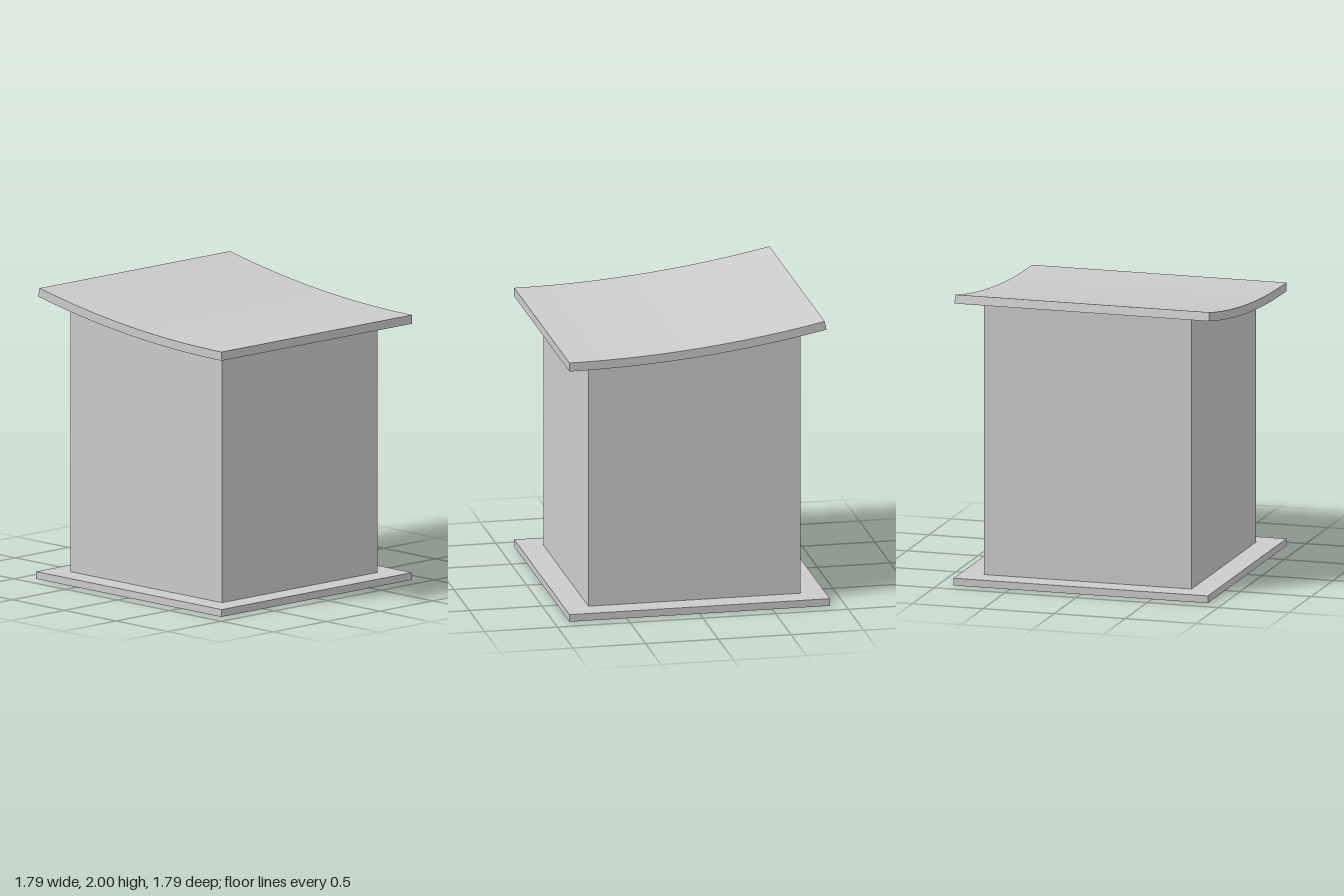
import * as THREE from 'three';
import { toCreasedNormals } from 'three/addons/utils/BufferGeometryUtils.js';

const HALF = 0.895;        // half width of base and roof
const BODY = 0.73;         // half width of the body
const BASE_H = 0.05;
const ROOF_T = 0.06;       // roof thickness
const R = 8.55;            // radius of the roof's upper surface
const CENTRE_Y = 1.818 + R; // the arc is level at the front edge

// Angle on a roof arc at a distance u from the centre towards the back
const angleAt = (u, r) => -Math.PI / 2 + Math.asin((u + HALF) / r);

// Extrudes a side profile (x = towards the back, y = up) across the width
function extrudeAcross(shape, width) {
  const geo = new THREE.ExtrudeGeometry(shape, { depth: width, bevelEnabled: false, curveSegments: 32 });
  geo.translate(0, 0, -width / 2);
  geo.rotateY(Math.PI / 2);
  return toCreasedNormals(geo, Math.PI / 6);
}

export function createModel() {
  const group = new THREE.Group();
  const material = new THREE.MeshStandardMaterial({ color: 0xcccccc });
  const add = (name, geometry) => {
    const mesh = new THREE.Mesh(geometry, material);
    mesh.name = name;
    group.add(mesh);
    return mesh;
  };

  // Flat base plate
  add('base', new THREE.BoxGeometry(HALF * 2, BASE_H, HALF * 2)).position.y = BASE_H / 2;

  // Square body, its top cut to the underside of the roof
  const under = R + ROOF_T;
  const bodyShape = new THREE.Shape();
  bodyShape.moveTo(-BODY, BASE_H);
  bodyShape.lineTo(BODY, BASE_H);
  bodyShape.absarc(-HALF, CENTRE_Y, under, angleAt(BODY, under), angleAt(-BODY, under), true);
  bodyShape.closePath();
  add('body', extrudeAcross(bodyShape, BODY * 2));

  // Curved roof slab, sweeping up to the back
  const front = -Math.PI / 2;
  const back = angleAt(0.86, R);
  const roofShape = new THREE.Shape();
  roofShape.absarc(-HALF, CENTRE_Y, under, front, back, false);
  roofShape.absarc(-HALF, CENTRE_Y, R, back, front, true);
  roofShape.closePath();
  add('roof', extrudeAcross(roofShape, HALF * 2));

  return group;
}
